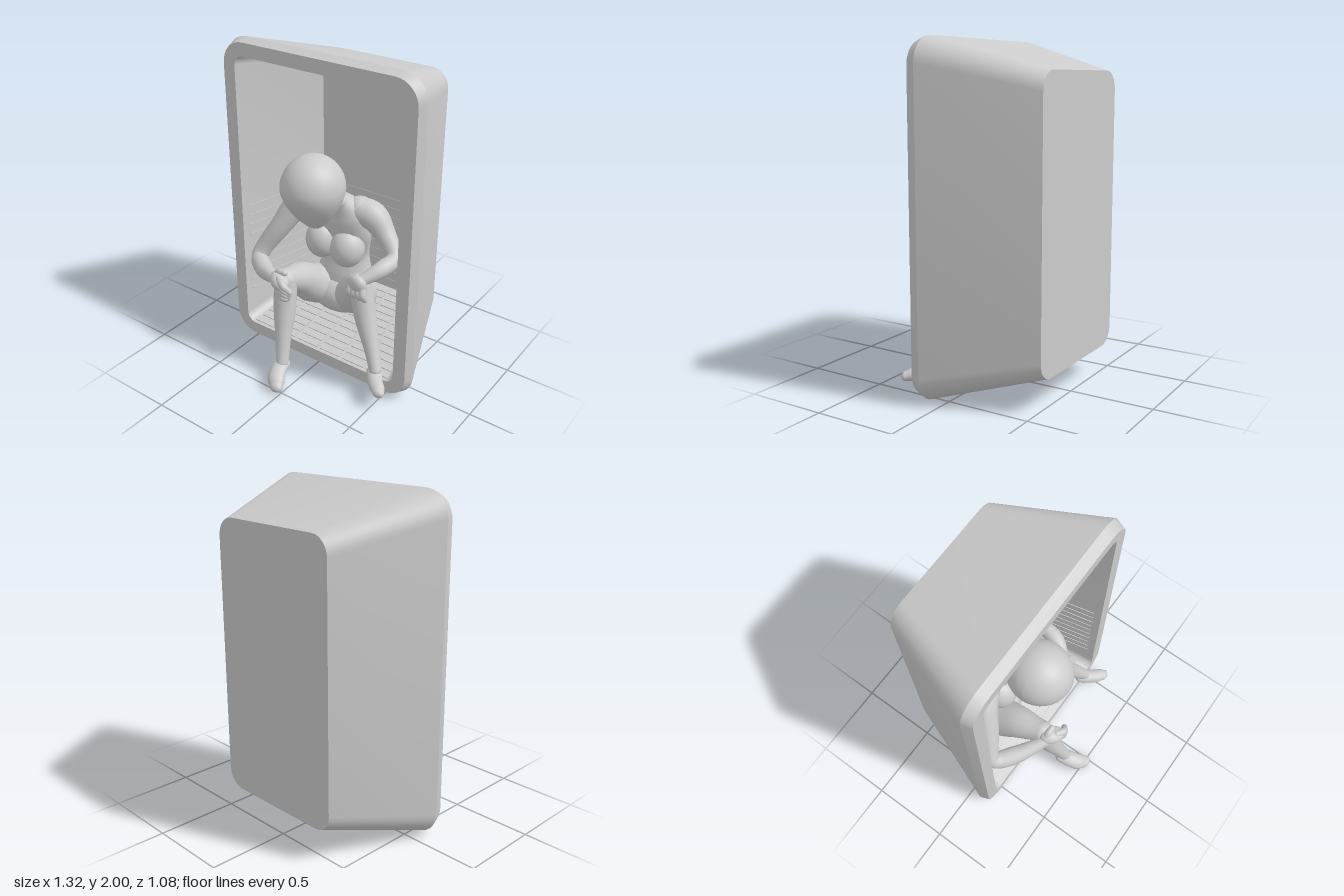
import * as THREE from 'three';
import { mergeVertices, toCreasedNormals } from 'three/addons/utils/BufferGeometryUtils.js';

const grey = new THREE.MeshStandardMaterial({ color: 0xcccccc, side: THREE.DoubleSide });
const V = (x, y, z) => new THREE.Vector3(x, y, z);

function add(parent, name, geometry, pos = [0, 0, 0], rot = [0, 0, 0], scale = [1, 1, 1]) {
  const m = new THREE.Mesh(geometry, grey);
  m.name = name;
  m.position.set(...pos);
  m.rotation.set(...rot);
  m.scale.set(...scale);
  parent.add(m);
}

// One rounded rectangle cross-section, counter-clockwise seen from the front
function roundedRing(hw, y0, y1, r, z, n = 8) {
  const pts = [];
  const corners = [[hw - r, y1 - r], [r - hw, y1 - r], [r - hw, y0 + r], [hw - r, y0 + r]];
  corners.forEach(([cx, cy], c) => {
    for (let i = 0; i <= n; i++) {
      const a = (c + i / n) * Math.PI / 2;
      pts.push(V(cx + r * Math.cos(a), cy + r * Math.sin(a), z));
    }
  });
  return pts;
}

// Skin a series of rings and close both ends with flat caps
function skin(rings) {
  const n = rings[0].length, pos = [], idx = [];
  rings.forEach(r => r.forEach(p => pos.push(p.x, p.y, p.z)));
  for (let k = 0; k < rings.length - 1; k++) {
    for (let i = 0; i < n; i++) {
      const a = k * n + i, b = k * n + (i + 1) % n;
      idx.push(a, b, b + n, a, b + n, a + n);
    }
  }
  const last = (rings.length - 1) * n;
  for (let i = 1; i < n - 1; i++) {
    idx.push(0, i + 1, i);
    idx.push(last, last + i, last + i + 1);
  }
  const g = new THREE.BufferGeometry();
  g.setAttribute('position', new THREE.Float32BufferAttribute(pos, 3));
  g.setIndex(idx);
  return toCreasedNormals(g, 0.35);
}

// Limb along a smooth curve; each point is [x, y, z, radius], sx widens the section in x
function limb(parent, name, pts, sx = 1) {
  const group = new THREE.Group();
  group.name = name;
  const curve = new THREE.CatmullRomCurve3(pts.map(p => V(p[0] / sx, p[1], p[2])));
  const radii = new THREE.SplineCurve(pts.map((p, i) => new THREE.Vector2(i, p[3])));
  const steps = pts.length * 6, sides = 16;
  let g = new THREE.TubeGeometry(curve, steps, 1, sides);
  const pos = g.attributes.position, v = V(0, 0, 0);
  for (let i = 0; i < pos.count; i++) {
    const u = Math.floor(i / (sides + 1)) / steps;
    const c = curve.getPointAt(u);
    const r = radii.getPoint(curve.getUtoTmapping(u)).y;
    v.fromBufferAttribute(pos, i).sub(c).multiplyScalar(r).add(c);
    pos.setXYZ(i, v.x, v.y, v.z);
  }
  g.deleteAttribute('uv');
  g.deleteAttribute('normal');
  g = mergeVertices(g, 1e-4);
  g.scale(sx, 1, 1);
  g.computeVertexNormals();
  add(group, name + 'Surface', g);
  for (const p of [pts[0], pts[pts.length - 1]]) {
    add(group, name + 'End', new THREE.SphereGeometry(p[3], 16, 10), p.slice(0, 3), [0, 0, 0], [sx, 1, 1]);
  }
  parent.add(group);
}

const ball = (parent, name, pos, scale, rot) =>
  add(parent, name, new THREE.SphereGeometry(1, 24, 16), pos, rot, scale);

function createCabinet() {
  const cabinet = new THREE.Group();
  cabinet.name = 'cabinet';
  // Tapered shell: outside from back to front, then over the rim and inside
  add(cabinet, 'shell', skin([
    roundedRing(0.43, 0.19, 1.82, 0.11, -0.54),
    roundedRing(0.66, 0.01, 2.0, 0.15, 0.09),
    roundedRing(0.64, 0.03, 1.98, 0.14, 0.15),
    roundedRing(0.56, 0.11, 1.9, 0.06, 0.15),
    roundedRing(0.42, 0.28, 1.81, 0.05, -0.5),
  ]));
  // Low slats on the sloping floor
  const floor = new THREE.Group();
  floor.name = 'floorGrate';
  const rows = 12, cols = 6, tilt = Math.atan2(0.17, 0.65);
  for (let r = 0; r < rows; r++) {
    const t = (r + 0.7) / (rows + 0.4);
    const pitch = 2 * (0.53 - 0.14 * t) / cols;
    for (let c = 0; c < cols; c++) {
      add(floor, 'slat', new THREE.BoxGeometry(pitch * 0.88, 0.01, 0.036),
        [(c - (cols - 1) / 2) * pitch, 0.111 + 0.17 * t, 0.15 - 0.65 * t], [tilt, 0, 0]);
    }
  }
  cabinet.add(floor);
  // Fine horizontal ribs around the lower side and back walls
  for (let i = 0; i < 10; i++) {
    const y = 0.34 + i * 0.066;
    for (const s of [-1, 1]) {
      add(cabinet, 'wallRib', new THREE.BoxGeometry(0.004, 0.008, 0.56),
        [s * 0.489, y, -0.17], [0, s * Math.atan2(0.14, 0.65), 0]);
    }
    add(cabinet, 'backRib', new THREE.BoxGeometry(0.8, 0.008, 0.004), [0, y, -0.5]);
  }
  return cabinet;
}

function createFigure() {
  const figure = new THREE.Group();
  figure.name = 'seatedFigure';
  // Hips, torso, neck and chest
  ball(figure, 'hips', [-0.06, 0.36, -0.18], [0.22, 0.13, 0.15]);
  limb(figure, 'torso', [
    [-0.06, 0.36, -0.22, 0.13], [-0.05, 0.48, -0.23, 0.125], [-0.045, 0.64, -0.24, 0.1],
    [-0.04, 0.82, -0.2, 0.12], [-0.04, 0.97, -0.15, 0.11], [-0.04, 1.06, -0.08, 0.06]], 1.55);
  limb(figure, 'neck', [[-0.04, 1.0, -0.13, 0.085], [-0.04, 1.08, -0.06, 0.07], [-0.04, 1.17, 0.04, 0.07]]);
  ball(figure, 'rightChest', [-0.14, 0.75, -0.11], [0.105, 0.125, 0.11]);
  ball(figure, 'leftChest', [0.04, 0.735, -0.12], [0.105, 0.125, 0.11]);

  // Bowed head, narrowing to the chin
  const head = new THREE.SphereGeometry(1, 32, 24);
  const p = head.attributes.position;
  for (let i = 0; i < p.count; i++) {
    const y = p.getY(i), low = Math.max(0, -y) ** 1.5, k = 1 - 0.42 * low;
    p.setXYZ(i, p.getX(i) * 0.188 * k, y * (y > 0 ? 0.2 : 0.27), p.getZ(i) * 0.195 * k - 0.03 * low);
  }
  head.computeVertexNormals();
  add(figure, 'head', head, [-0.04, 1.21, 0.115]);

  // Arms
  limb(figure, 'rightArm', [
    [-0.18, 0.99, -0.15, 0.08], [-0.285, 0.97, -0.11, 0.09], [-0.39, 0.8, -0.01, 0.068],
    [-0.485, 0.6, 0.09, 0.054], [-0.38, 0.585, 0.18, 0.056], [-0.2, 0.63, 0.29, 0.034]]);
  limb(figure, 'leftArm', [
    [0.08, 0.98, -0.19, 0.085], [0.165, 0.95, -0.21, 0.088], [0.26, 0.86, -0.2, 0.064],
    [0.355, 0.76, -0.15, 0.048], [0.345, 0.735, -0.03, 0.05], [0.28, 0.69, 0.08, 0.036]]);

  // Hands resting on the knees
  ball(figure, 'rightPalm', [-0.155, 0.64, 0.3], [0.08, 0.045, 0.055], [0, -0.6, -0.2]);
  ball(figure, 'leftPalm', [0.27, 0.67, 0.105], [0.06, 0.065, 0.04], [0.2, 0, 0]);
  for (let i = 0; i < 4; i++) {
    const d = i * 0.026;
    limb(figure, 'rightFinger', [
      [-0.14, 0.665 - d, 0.32, 0.022], [-0.09, 0.645 - d, 0.345, 0.022], [-0.06 - d * 0.2, 0.605 - d * 0.6, 0.325, 0.018]]);
    limb(figure, 'leftFinger', [
      [0.23 + d, 0.66, 0.11, 0.022], [0.225 + d * 1.2, 0.62, 0.125, 0.021], [0.225 + d * 1.3, 0.59, 0.11, 0.018]]);
  }
  limb(figure, 'rightThumb', [[-0.2, 0.65, 0.28, 0.022], [-0.17, 0.685, 0.28, 0.02], [-0.13, 0.69, 0.28, 0.018]]);
  limb(figure, 'leftThumb', [[0.25, 0.7, 0.08, 0.022], [0.21, 0.68, 0.09, 0.02], [0.2, 0.64, 0.1, 0.017]]);

  // Legs, bent at the knee
  limb(figure, 'rightThigh', [
    [-0.18, 0.36, -0.2, 0.13], [-0.19, 0.43, -0.06, 0.125], [-0.18, 0.54, 0.08, 0.1], [-0.165, 0.61, 0.23, 0.07]]);
  limb(figure, 'rightShin', [
    [-0.165, 0.61, 0.23, 0.07], [-0.145, 0.42, 0.27, 0.068], [-0.115, 0.25, 0.33, 0.048], [-0.09, 0.12, 0.375, 0.04]]);
  limb(figure, 'leftThigh', [
    [0.06, 0.37, -0.2, 0.13], [0.1, 0.43, -0.11, 0.12], [0.18, 0.55, -0.02, 0.095], [0.255, 0.63, 0.05, 0.07]]);
  limb(figure, 'leftShin', [
    [0.255, 0.63, 0.05, 0.07], [0.31, 0.45, 0.075, 0.066], [0.39, 0.28, 0.12, 0.048], [0.445, 0.17, 0.16, 0.038]]);

  // Feet with a flared ball and blunt toes
  limb(figure, 'rightFoot', [
    [-0.1, 0.1, 0.36, 0.038], [-0.085, 0.085, 0.42, 0.04], [-0.06, 0.055, 0.475, 0.042], [-0.035, 0.037, 0.505, 0.033]], 1.35);
  limb(figure, 'leftFoot', [
    [0.435, 0.14, 0.15, 0.038], [0.47, 0.13, 0.2, 0.037], [0.51, 0.12, 0.24, 0.037], [0.535, 0.113, 0.265, 0.03]], 1.35);
  return figure;
}

export function createModel() {
  const model = new THREE.Group();
  model.name = 'seatedFigureInCabinet';
  model.add(createCabinet(), createFigure());
  return model;
}
